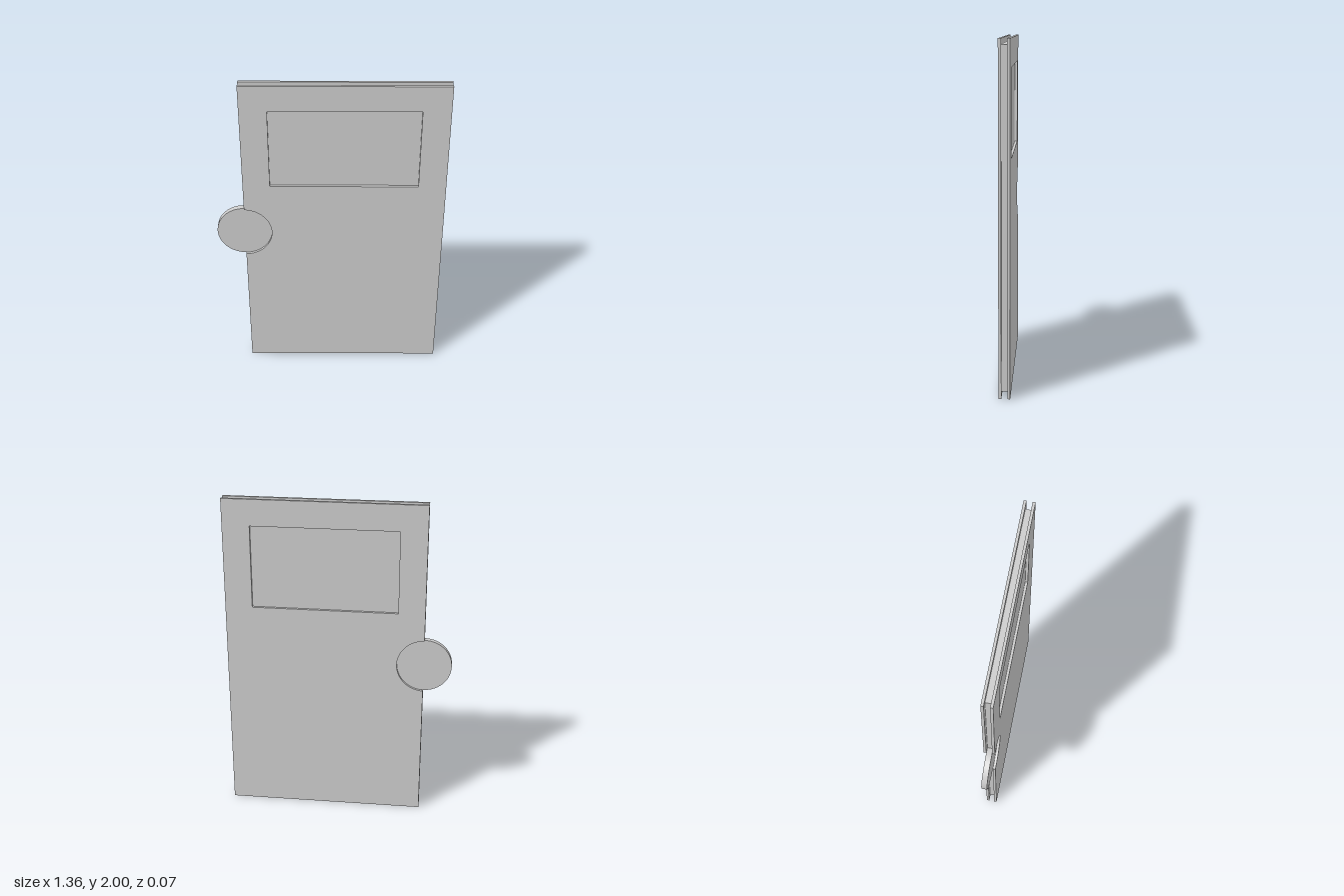
import * as THREE from 'three';

const X0 = -0.515, X1 = 0.68, H = 2;      // door outline
const OUT = 0.033, IN = 0.017;            // half thickness: skins, core
const INSET = 0.033;                      // groove depth around the rim
const KNOB = { x: -0.518, y: 1, r: 0.165 };

// Door-shaped outline with a round notch in the latch edge
function outline(inset) {
  const left = X0 + inset, dx = left - KNOB.x;
  const a = Math.acos(dx / KNOB.r);
  const s = new THREE.Shape();
  s.moveTo(left, inset);
  s.lineTo(X1 - inset, inset);
  s.lineTo(X1 - inset, H - inset);
  s.lineTo(left, H - inset);
  s.absarc(KNOB.x, KNOB.y, KNOB.r, a, -a, true);
  s.closePath();
  return s;
}

function slab(name, shape, z0, z1, material) {
  const geo = new THREE.ExtrudeGeometry(shape, { depth: z1 - z0, bevelEnabled: false, curveSegments: 32 });
  geo.translate(0, 0, z0);
  const mesh = new THREE.Mesh(geo, material);
  mesh.name = name;
  return mesh;
}

export function createModel() {
  const door = new THREE.Group();
  door.name = 'door';
  const grey = new THREE.MeshStandardMaterial({ color: 0xcccccc });

  // Front and back skins with a window opening
  const skin = outline(0);
  const win = new THREE.Path();
  win.moveTo(-0.355, 1.335);
  win.lineTo(-0.355, 1.84);
  win.lineTo(0.517, 1.84);
  win.lineTo(0.517, 1.335);
  win.closePath();
  skin.holes.push(win);
  door.add(slab('frontSkin', skin, IN, OUT, grey));
  door.add(slab('backSkin', skin, -OUT, -IN, grey));

  // Inset core, which is also the pane seen through the window
  door.add(slab('corePane', outline(INSET), -IN, IN, grey));

  // Thin round handle set in the latch edge
  const disc = new THREE.CylinderGeometry(KNOB.r, KNOB.r, IN * 2, 64);
  disc.rotateX(Math.PI / 2);
  const handle = new THREE.Mesh(disc, grey);
  handle.name = 'discHandle';
  handle.position.set(KNOB.x, KNOB.y, 0);
  door.add(handle);

  return door;
}
